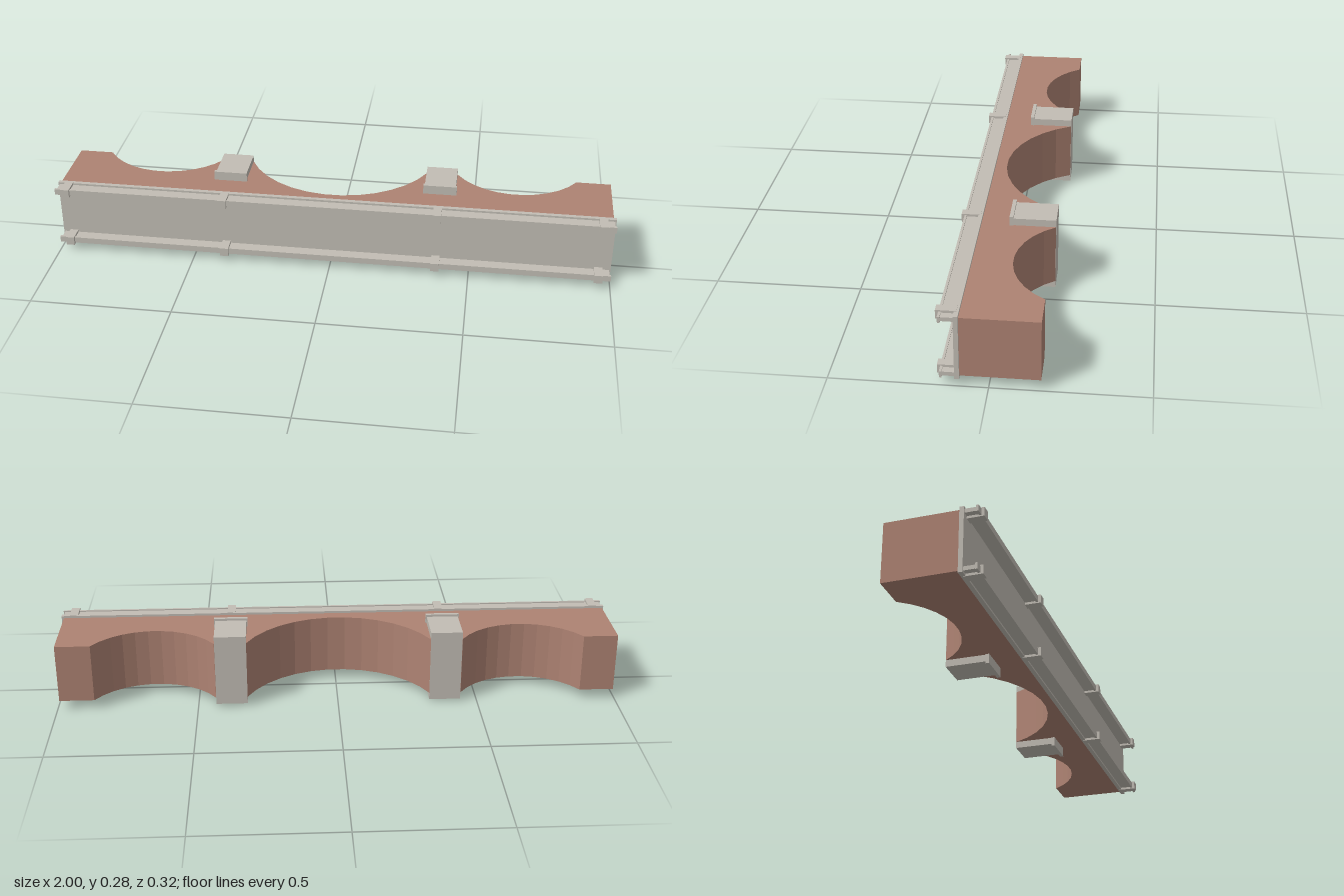
import * as THREE from 'three';

export function createModel() {
  const model = new THREE.Group();
  const brick = new THREE.MeshStandardMaterial({ name: 'brick', color: 0xae8373 });
  const stone = new THREE.MeshStandardMaterial({ name: 'stone', color: 0xc2bdb4 });

  // Box given by its limits on each axis
  function box(name, [x0, x1], [y0, y1], [z0, z1], parent = model) {
    const mesh = new THREE.Mesh(new THREE.BoxGeometry(x1 - x0, y1 - y0, z1 - z0), stone);
    mesh.position.set((x0 + x1) / 2, (y0 + y1) / 2, (z0 + z1) / 2);
    mesh.name = name;
    parent.add(mesh);
  }

  // Arched body: a plan outline (shape y = -z) extruded upward
  const back = 0.16;
  const shape = new THREE.Shape();
  shape.moveTo(-0.995, -0.09);
  shape.lineTo(0.992, -0.09);
  shape.lineTo(0.992, back);

  // Circular segment arch cut into the back, from right to left
  function arch(x1, x0, rise, steps) {
    const half = (x1 - x0) / 2;
    const cx = (x0 + x1) / 2;
    const radius = (half * half + rise * rise) / (2 * rise);
    const cy = back - rise + radius;
    const sweep = Math.asin(half / radius);
    for (let i = 0; i <= steps; i++) {
      const a = sweep * (1 - (2 * i) / steps);
      shape.lineTo(cx + radius * Math.sin(a), cy - radius * Math.cos(a));
    }
  }
  arch(0.868, 0.437, 0.12, 11);
  arch(0.324, -0.328, 0.21, 13);
  arch(-0.441, -0.873, 0.12, 11);
  shape.lineTo(-0.995, back);
  shape.closePath();

  const bodyGeometry = new THREE.ExtrudeGeometry(shape, { depth: 0.211, bevelEnabled: false });
  bodyGeometry.rotateX(-Math.PI / 2);
  const body = new THREE.Mesh(bodyGeometry, brick);
  body.name = 'archedBody';
  body.position.y = 0.034;
  model.add(body);

  // Piers with a wider cap
  for (const x of [-0.384, 0.38]) {
    const pier = new THREE.Group();
    pier.name = 'pier';
    box('pierShaft', [x - 0.056, x + 0.056], [0.009, 0.27], [-0.161, -0.018], pier);
    box('pierCap', [x - 0.06, x + 0.06], [0, 0.278], [-0.018, -0.005], pier);
    model.add(pier);
  }

  // Deck slab
  box('deck', [-1, 1], [0.026, 0.253], [0.09, 0.105]);

  // Parapets on both edges of the deck: wall, coping and posts
  for (const y of [0.0395, 0.239]) {
    const parapet = new THREE.Group();
    parapet.name = 'parapet';
    box('parapetWall', [-0.995, 0.995], [y - 0.007, y + 0.007], [0.105, 0.145], parapet);
    box('coping', [-1, 1], [y - 0.011, y + 0.011], [0.144, 0.152], parapet);
    for (const x of [-0.96, -0.384, 0.38, 0.956]) {
      box('post', [x - 0.015, x + 0.015], [y - 0.0155, y + 0.0155], [0.097, 0.162], parapet);
    }
    model.add(parapet);
  }

  return model;
}
